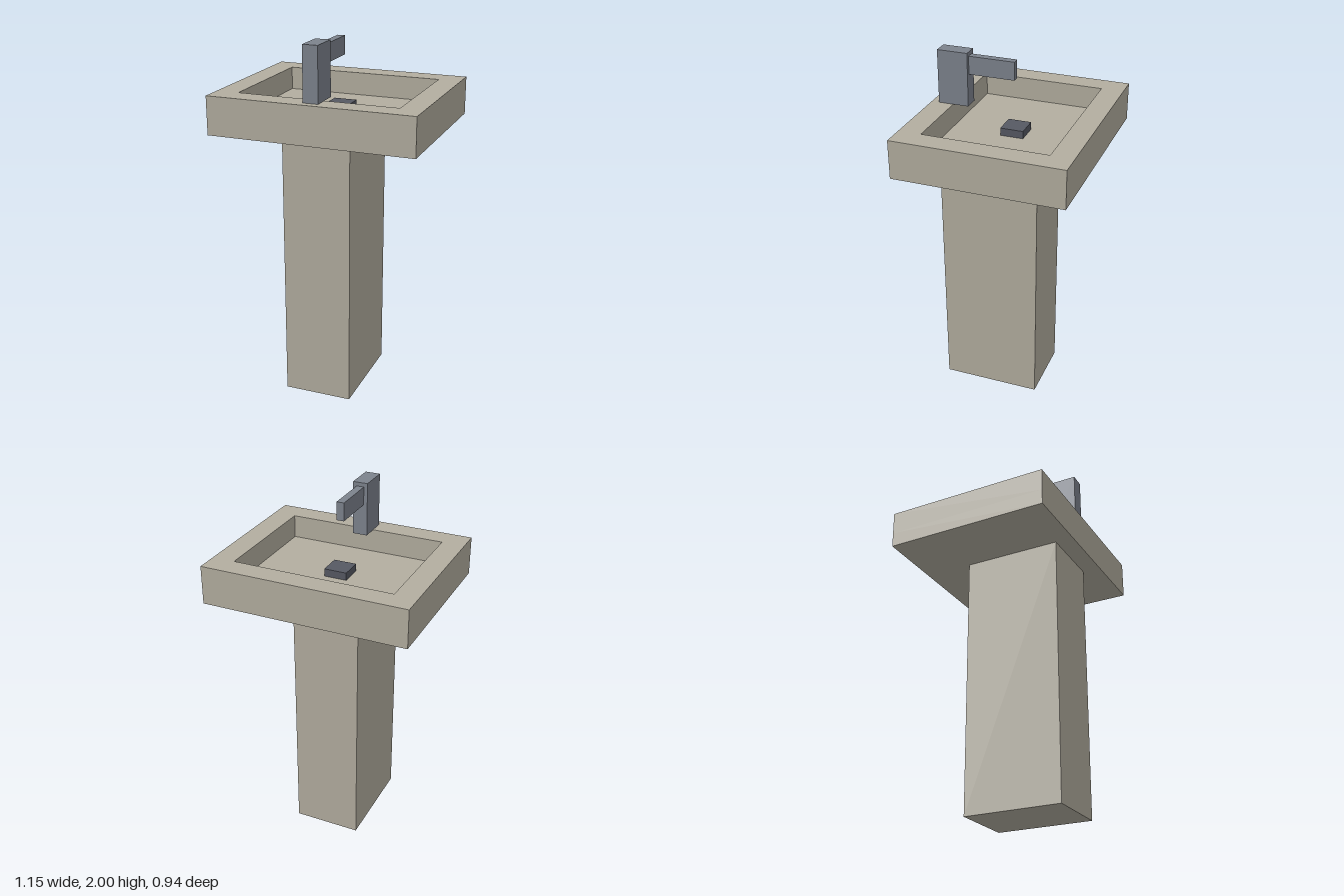
import * as THREE from 'three';

const material = (name, color) => {
  const m = new THREE.MeshStandardMaterial({ color });
  m.name = name;
  return m;
};

export function createModel() {
  const model = new THREE.Group();
  model.name = 'pedestalSink';

  const stone = material('stone', 0xb3aea0);
  const metal = material('metal', 0x7d838d);
  const darkMetal = material('darkMetal', 0x565963);

  // Box given by its extents along each axis
  const addBox = (name, mat, [x0, x1], [y0, y1], [z0, z1]) => {
    const mesh = new THREE.Mesh(new THREE.BoxGeometry(x1 - x0, y1 - y0, z1 - z0), mat);
    mesh.position.set((x0 + x1) / 2, (y0 + y1) / 2, (z0 + z1) / 2);
    mesh.name = name;
    model.add(mesh);
  };

  const rect = (Type, w, d) => new Type([
    new THREE.Vector2(-w, -d), new THREE.Vector2(w, -d),
    new THREE.Vector2(w, d), new THREE.Vector2(-w, d),
  ]);

  // Horizontal slab with an optional hole, extruded upwards from y0 to y1
  const addSlab = (name, y0, y1, hole) => {
    const shape = rect(THREE.Shape, 0.573, 0.468);
    if (hole) shape.holes.push(hole);
    const geometry = new THREE.ExtrudeGeometry(shape, { depth: y1 - y0, bevelEnabled: false });
    geometry.rotateX(-Math.PI / 2);
    const mesh = new THREE.Mesh(geometry, stone);
    mesh.position.y = y0;
    mesh.name = name;
    model.add(mesh);
  };

  // Pedestal
  addBox('pedestal', stone, [-0.19, 0.19], [0, 1.49], [-0.19, 0.365]);

  // Basin: solid floor and a hollow rim around the bowl
  addSlab('basinFloor', 1.49, 1.575);
  addSlab('basinRim', 1.575, 1.703, rect(THREE.Path, 0.447, 0.343));

  // Drain in the middle of the bowl
  addBox('drain', darkMetal, [-0.064, 0.064], [1.575, 1.617], [-0.064, 0.064]);

  // Faucet
  addBox('faucetPost', metal, [-0.042, 0.042], [1.703, 2], [0.255, 0.425]);
  addBox('faucetSpout', metal, [-0.021, 0.021], [1.877, 1.978], [0, 0.255]);

  return model;
}
